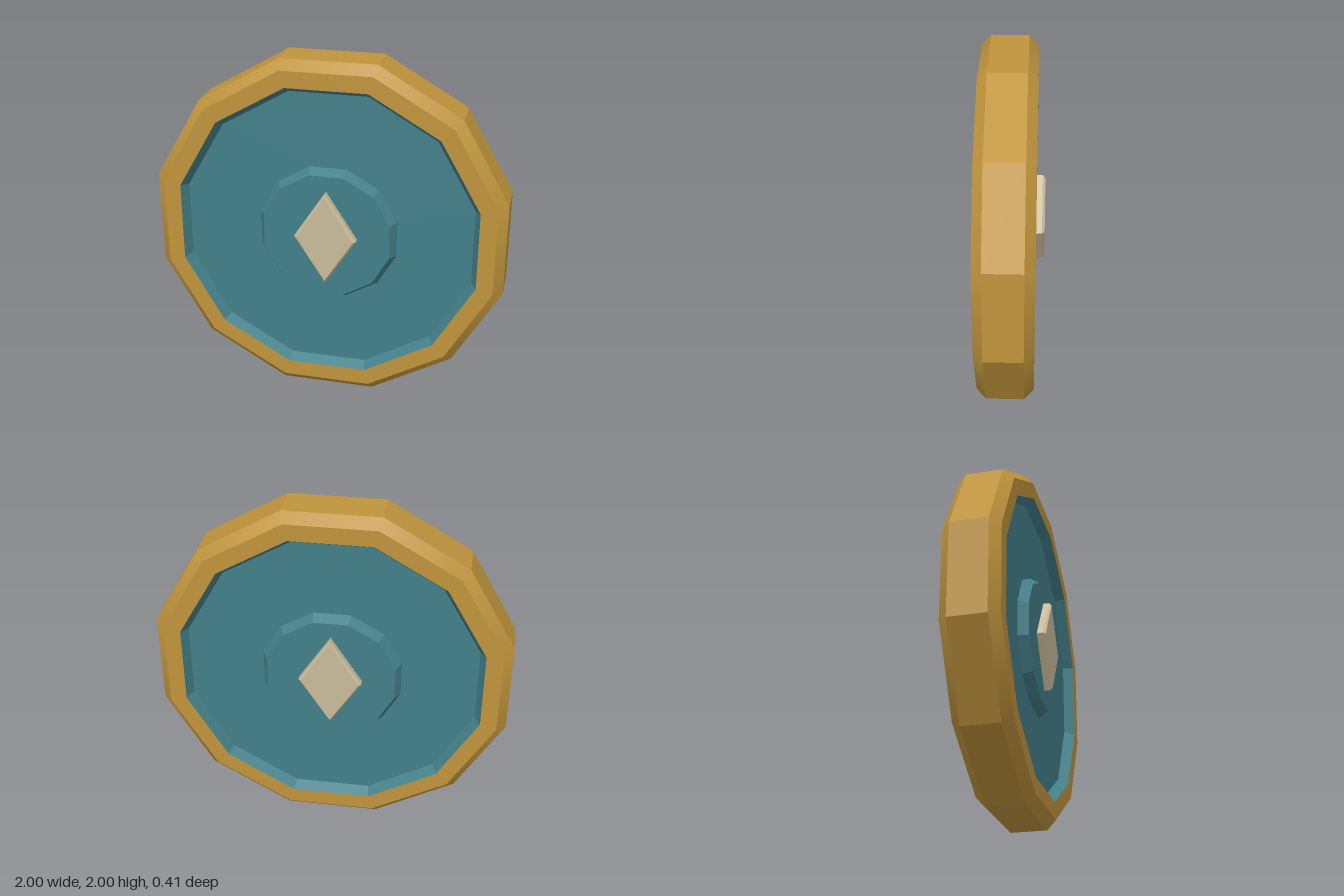
import * as THREE from 'three';

const SIDES = 12;

function material(name, color) {
  const m = new THREE.MeshStandardMaterial({ color });
  m.name = name;
  return m;
}

// Twelve-sided ring around z from [flat radius, z] points, faceted unless smooth
function ring(points, smooth = false) {
  const profile = points.map(([r, z]) => new THREE.Vector2(r / Math.cos(Math.PI / SIDES), z));
  let geometry = new THREE.LatheGeometry(profile, SIDES, Math.PI / SIDES);
  if (!smooth) {
    geometry = geometry.toNonIndexed();
    geometry.computeVertexNormals();
  }
  return geometry.rotateX(Math.PI / 2);
}

export function createModel() {
  const gold = material('gold', 0xc0943c);
  const teal = material('teal', 0x43808a);
  const cream = material('cream', 0xcabb9b);

  const model = new THREE.Group();
  model.name = 'roundShield';

  function add(parent, name, geometry, mat) {
    const mesh = new THREE.Mesh(geometry, mat);
    mesh.name = name;
    parent.add(mesh);
    return mesh;
  }

  // Outer band of the rim
  add(model, 'rimBand', ring([[1, -0.105], [1, 0.105]]), gold).position.y = 1;

  // Identical front and back faces
  const chamfer = ring([[1, 0.105], [0.947, 0.158]], true);
  const rimFace = ring([[0.947, 0.158], [0.853, 0.158]]);
  const recess = ring([[0.853, 0.158], [0.82, 0.1]]);
  const panel = ring([[0.82, 0.1], [0.393, 0.1]]);
  const boss = ring([[0.393, 0.1], [0.362, 0.156], [0, 0.156]]);
  for (const [name, angle] of [['frontFace', 0], ['backFace', Math.PI]]) {
    const face = new THREE.Group();
    face.name = name;
    face.position.y = 1;
    face.rotation.y = angle;
    add(face, 'rimChamfer', chamfer, gold);
    add(face, 'rimFace', rimFace, gold);
    add(face, 'recessWall', recess, teal);
    add(face, 'panel', panel, teal);
    add(face, 'boss', boss, teal);
    model.add(face);
  }

  // Bevelled diamond running through the centre
  const diamond = new THREE.Shape([
    new THREE.Vector2(0.178, 0),
    new THREE.Vector2(0, 0.275),
    new THREE.Vector2(-0.178, 0),
    new THREE.Vector2(0, -0.275),
  ]);
  const gem = new THREE.ExtrudeGeometry(diamond, {
    depth: 0.38,
    bevelThickness: 0.015,
    bevelSize: 0.012,
    bevelOffset: -0.012,
    bevelSegments: 1,
  });
  gem.translate(0, 0, -0.19);
  add(model, 'diamond', gem, cream).position.y = 1;

  return model;
}
